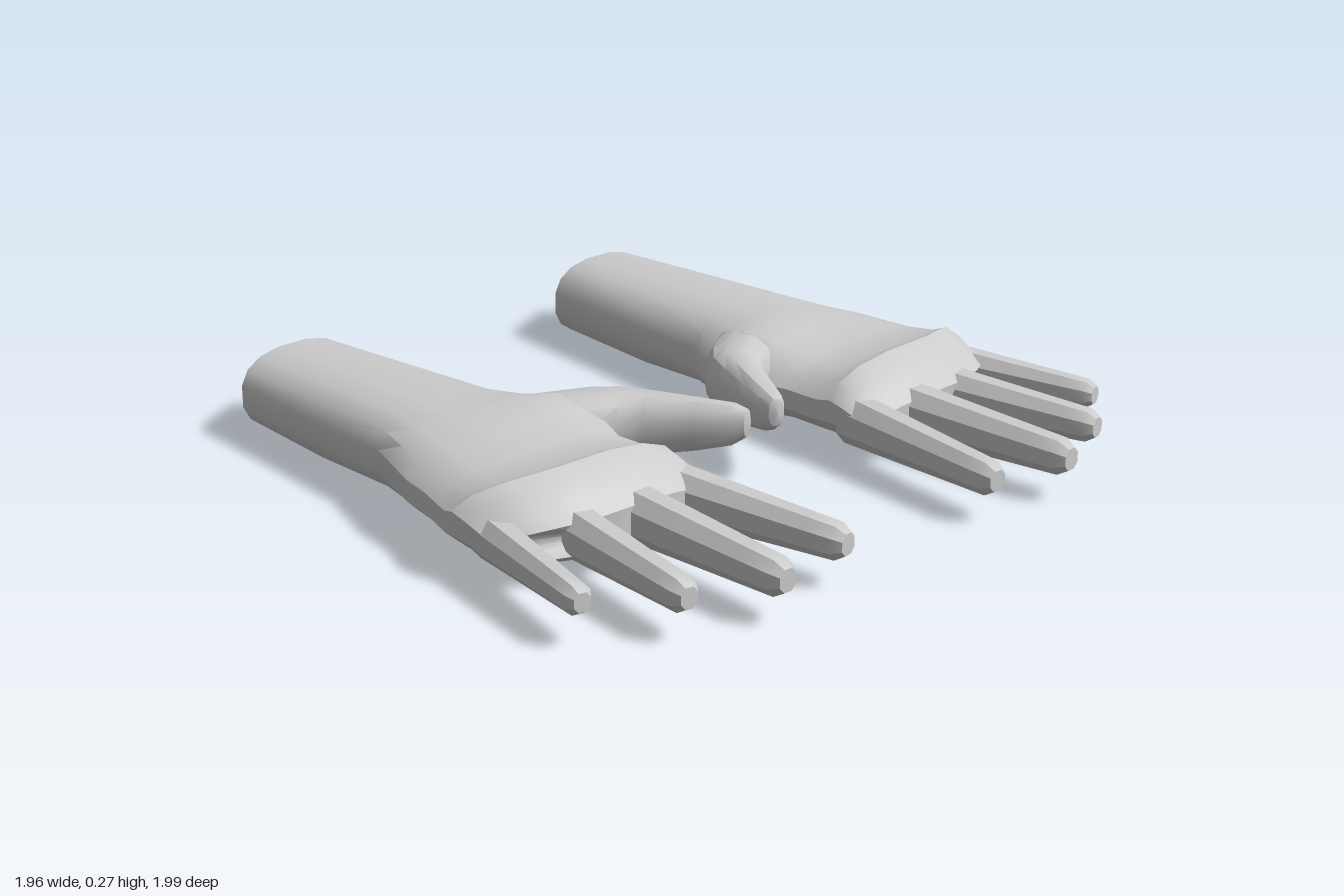
import * as THREE from 'three';
import { toCreasedNormals } from 'three/addons/utils/BufferGeometryUtils.js';

const material = new THREE.MeshStandardMaterial({ color: 0xcccccc });

// Skin a row of rounded sections [x, y, z, halfWidth, halfHeight].
// follow: turn the sections along the path; warp: rule that moves each point.
function loft(sections, { sides = 12, power = 0.75, follow = true, crease = 0.6, start, end, warp, side = 1 }) {
  const pos = [], index = [], n = sections.length;
  const put = (p) => {
    if (warp) warp(p);
    pos.push(p.x * side, p.y, p.z);
  };
  const tri = (a, b, c) => (side > 0 ? index.push(a, b, c) : index.push(a, c, b));
  const round = (v) => Math.sign(v) * Math.pow(Math.abs(v), power);

  sections.forEach(([x, y, z, w, h], i) => {
    const a = sections[Math.max(i - 1, 0)], b = sections[Math.min(i + 1, n - 1)];
    const dir = follow ? new THREE.Vector2(b[0] - a[0], b[2] - a[2]).normalize() : new THREE.Vector2(0, 1);
    for (let j = 0; j < sides; j++) {
      const t = ((j + 0.5) / sides) * Math.PI * 2;
      const u = round(Math.cos(t)) * w, v = round(Math.sin(t)) * h;
      put(new THREE.Vector3(x + dir.y * u, y + v, z - dir.x * u));
    }
  });
  for (let i = 0; i < n - 1; i++) {
    for (let j = 0; j < sides; j++) {
      const k = (j + 1) % sides, p = i * sides, q = p + sides;
      tri(p + j, p + k, q + k);
      tri(p + j, q + k, q + j);
    }
  }
  // end caps
  put(new THREE.Vector3(...(start || sections[0].slice(0, 3))));
  put(new THREE.Vector3(...(end || sections[n - 1].slice(0, 3))));
  const c0 = n * sides, last = (n - 1) * sides;
  for (let j = 0; j < sides; j++) {
    const k = (j + 1) % sides;
    tri(c0, k, j);
    tri(c0 + 1, last + j, last + k);
  }
  const g = new THREE.BufferGeometry();
  g.setAttribute('position', new THREE.Float32BufferAttribute(pos, 3));
  g.setIndex(index);
  return toCreasedNormals(g, crease);
}

// Forearm and palm: z, inner x, outer x, bottom y, top y
const ARM = [
  [-0.85, 0.395, 0.75, 0.02, 0.25],
  [-0.5, 0.365, 0.77, 0.01, 0.26],
  [-0.2, 0.335, 0.79, 0.025, 0.265],
  [-0.1, 0.28, 0.825, 0.035, 0.26],
  [0, 0.225, 0.86, 0.04, 0.255],
  [0.1, 0.25, 0.875, 0.04, 0.25],
  [0.2, 0.29, 0.89, 0.04, 0.245],
  [0.32, 0.285, 0.91, 0.04, 0.25],
  [0.37, 0.28, 0.92, 0.04, 0.27],
  [0.42, 0.28, 0.92, 0.045, 0.25],
  [0.47, 0.285, 0.915, 0.06, 0.21],
  [0.505, 0.31, 0.9, 0.085, 0.175],
];

// Thumb path, from inside the palm to the tip
const THUMB = [
  [0.42, 0.17, -0.06, 0.1, 0.09],
  [0.28, 0.175, 0.045, 0.1, 0.1],
  [0.22, 0.18, 0.09, 0.085, 0.095],
  [0.172, 0.188, 0.16, 0.066, 0.085],
  [0.112, 0.2, 0.275, 0.052, 0.07],
  [0.068, 0.212, 0.36, 0.04, 0.056],
  [0.054, 0.22, 0.395, 0.022, 0.038],
];

// Fingers: base x, base z, tip x, tip z, base radius, tip radius
const FINGERS = {
  indexFinger: [0.345, 0.4, 0.28, 0.95, 0.06, 0.042],
  middleFinger: [0.508, 0.4, 0.53, 0.99, 0.064, 0.044],
  ringFinger: [0.685, 0.4, 0.76, 0.9, 0.06, 0.04],
  littleFinger: [0.855, 0.31, 0.95, 0.75, 0.052, 0.036],
};

// Sweep the knuckle edge back toward the little finger and raise the thumb mound
function shapePalm(p) {
  const fade = THREE.MathUtils.smoothstep(p.z, 0.05, 0.35);
  p.z -= 1.4 * Math.max(0, p.x - 0.62) ** 2 * fade;
  if (p.y > 0.18) {
    p.y += 0.04 * Math.exp(-(((p.x - 0.39) / 0.12) ** 2) - ((p.z - 0.03) / 0.1) ** 2);
  }
}

function fingerSections([x0, z0, x1, z1, r0, r1]) {
  return [0, 0.25, 0.6, 0.8, 0.95, 1].map((t) => {
    const r = THREE.MathUtils.lerp(r0, r1, t) * (t === 1 ? 0.65 : 1);
    return [
      THREE.MathUtils.lerp(x0, x1, t), 0.13, THREE.MathUtils.lerp(z0, z1, t),
      r, r * (1.2 - 0.1 * t),
    ];
  });
}

function createHand(side) {
  const hand = new THREE.Group();
  hand.name = side > 0 ? 'leftHand' : 'rightHand';
  const add = (name, geometry) => {
    const mesh = new THREE.Mesh(geometry, material);
    mesh.name = name;
    hand.add(mesh);
  };

  const arm = ARM.map(([z, a, b, lo, hi]) => [(a + b) / 2, (lo + hi) / 2, z, (b - a) / 2, (hi - lo) / 2]);
  add('forearmAndPalm', loft(arm, {
    sides: 16, power: 0.8, follow: false, start: [0.59, 0.13, -1], warp: shapePalm, side,
  }));
  add('thumb', loft(THUMB, { sides: 12, power: 0.85, end: [0.05, 0.222, 0.405], side }));
  for (const [name, finger] of Object.entries(FINGERS)) {
    add(name, loft(fingerSections(finger), { sides: 8, power: 0.9, side }));
  }
  return hand;
}

export function createModel() {
  const model = new THREE.Group();
  model.name = 'pairOfHands';
  for (const side of [1, -1]) model.add(createHand(side));
  return model;
}
